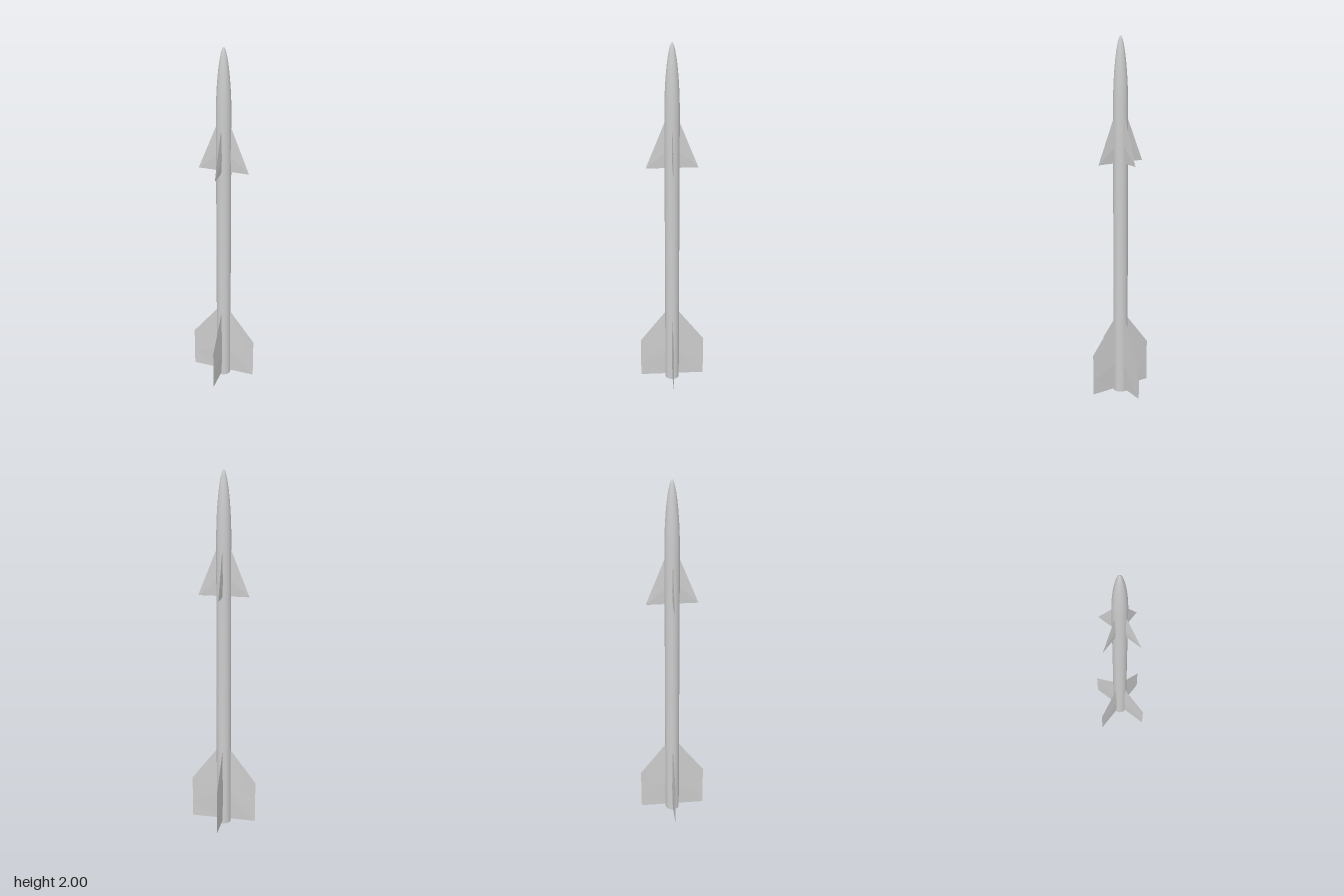
import * as THREE from 'three';

const RADIUS = 0.04;
const ROOT = 0.036; // fin roots sit slightly inside the hull
const SIDES = 40;

// Tapered fin with a diamond section; x runs outward, y up, z is thickness.
function finGeometry(rootSpan, tipSpan, tipRadius, halfThickness) {
  const section = (r, [bottom, top], t) => {
    const mid = bottom + (top - bottom) * 0.35;
    return [[r, top, 0], [r, mid, t], [r, bottom, 0], [r, mid, -t]];
  };
  const root = section(ROOT, rootSpan, halfThickness);
  const tip = section(tipRadius, tipSpan, 0.0003);
  const corners = [];
  for (let i = 0; i < 4; i++) {
    const j = (i + 1) % 4;
    corners.push(root[i], root[j], tip[j], root[i], tip[j], tip[i]);
  }
  corners.push(tip[0], tip[1], tip[2], tip[0], tip[2], tip[3]); // tip edge
  const geometry = new THREE.BufferGeometry();
  geometry.setAttribute('position', new THREE.Float32BufferAttribute(corners.flat(), 3));
  geometry.computeVertexNormals();
  return geometry;
}

export function createModel() {
  const model = new THREE.Group();
  model.name = 'missile';
  const material = new THREE.MeshStandardMaterial({ color: 0xcccccc });
  const finMaterial = new THREE.MeshStandardMaterial({ color: 0xcccccc, flatShading: true, side: THREE.DoubleSide });

  const add = (name, geometry, mat = material, parent = model) => {
    const mesh = new THREE.Mesh(geometry, mat);
    mesh.name = name;
    parent.add(mesh);
    return mesh;
  };

  // Straight hull, closed at the tail
  const noseBase = 1.62;
  add('body', new THREE.CylinderGeometry(RADIUS, RADIUS, noseBase, SIDES)).position.y = noseBase / 2;

  // Rounded, elongated nose
  const profile = [];
  const steps = 28;
  for (let i = 0; i <= steps; i++) {
    const u = Math.sin((i / steps) * Math.PI / 2);
    const r = i === steps ? 0 : RADIUS * Math.pow(1 - u * u, 0.58);
    profile.push(new THREE.Vector2(r, noseBase + (2 - noseBase) * u));
  }
  add('nose', new THREE.LatheGeometry(profile, SIDES));

  // Two sets of four fins on the diagonals
  const finSets = [
    ['forwardFin', finGeometry([1.335, 1.595], [1.335, 1.338], 0.139, 0.004)],
    ['tailFin', finGeometry([0.015, 0.45], [0.015, 0.255], 0.184, 0.004)],
  ];
  for (const [name, geometry] of finSets) {
    const set = new THREE.Group();
    set.name = name + 's';
    for (let i = 0; i < 4; i++) {
      add(name, geometry, finMaterial, set).rotation.y = Math.PI / 4 + (i * Math.PI) / 2;
    }
    model.add(set);
  }
  return model;
}
